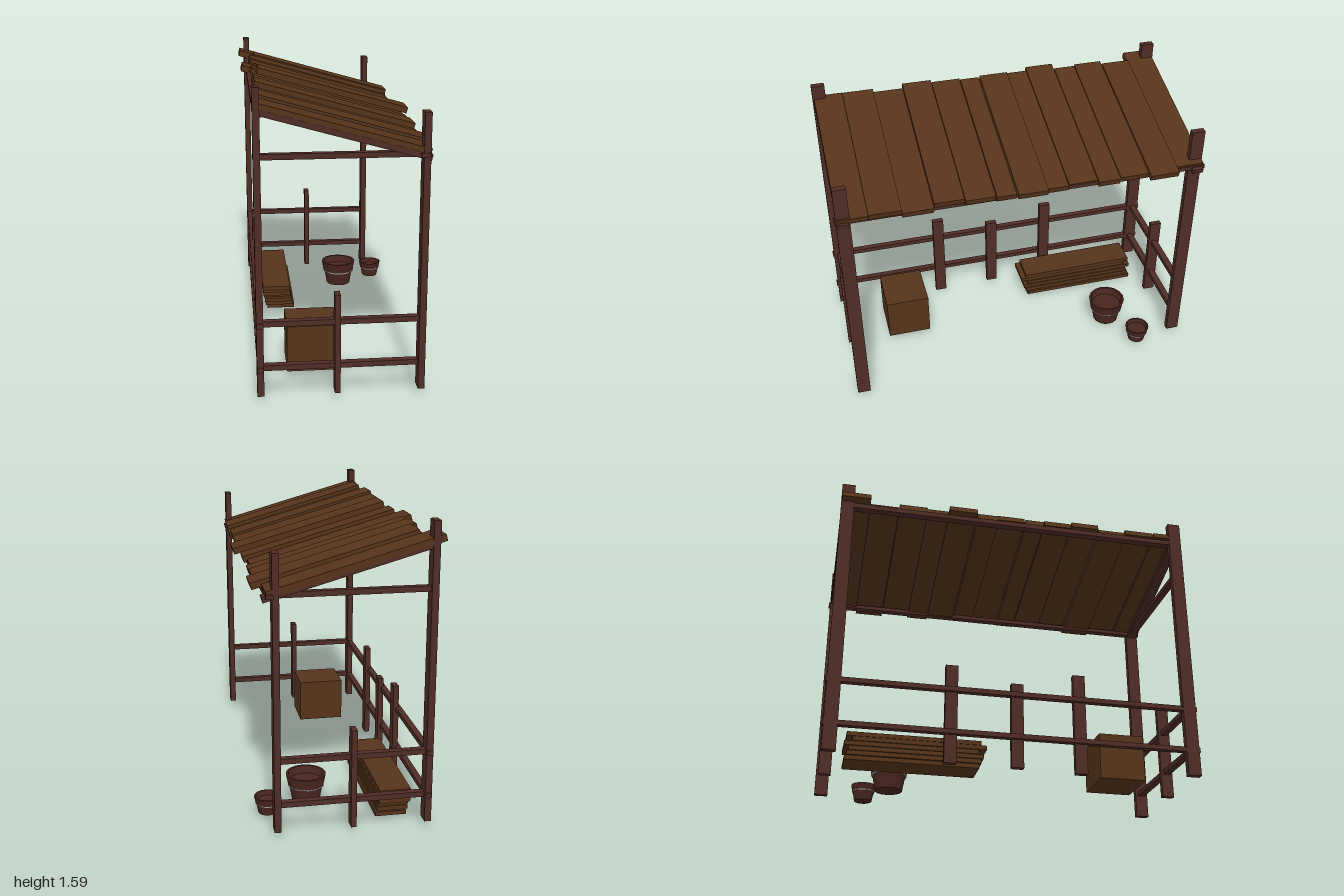
import * as THREE from 'three';

export function createModel() {
  const model = new THREE.Group();
  const mat = (color, side = THREE.FrontSide) =>
    new THREE.MeshStandardMaterial({ color, side, flatShading: true });
  const frameWood = mat(0x4f2c26);
  const plankWood = mat(0x56341a);
  const clay = mat(0x4a2620, THREE.DoubleSide);
  const band = mat(0xa8a8a8);

  // Box given by its min and max corners
  const block = (name, material, [x0, y0, z0], [x1, y1, z1], parent = model) => {
    const mesh = new THREE.Mesh(new THREE.BoxGeometry(x1 - x0, y1 - y0, z1 - z0), material);
    mesh.position.set((x0 + x1) / 2, (y0 + y1) / 2, (z0 + z1) / 2);
    mesh.name = name;
    parent.add(mesh);
    return mesh;
  };

  // Box lying along the roof slope; y0 is the height of its top face at x = 0
  const pitch = -0.275;
  const slopedBlock = (name, material, x0, x1, y0, thick, z0, z1) => {
    const mid = (x0 + x1) / 2;
    const mesh = new THREE.Mesh(
      new THREE.BoxGeometry((x1 - x0) / Math.cos(pitch), thick, z1 - z0), material);
    mesh.rotation.z = pitch;
    mesh.position.set(mid, y0 + mid * Math.tan(pitch) - thick / 2 / Math.cos(pitch), (z0 + z1) / 2);
    mesh.name = name;
    model.add(mesh);
  };

  // Both ends: corner posts, fence, tie beam and rafter
  for (const s of [1, -1]) {
    const zc = s * 0.957;
    const low = s > 0 ? 0.395 : 0.357;
    block('tallPost', frameWood, [-0.435, 0.03, zc - 0.036], [-0.4, 1.59, zc + 0.036]);
    block('shortPost', frameWood, [low - 0.017, 0.035, zc - 0.036], [low + 0.017, 1.46, zc + 0.036]);
    block('endFencePost', frameWood, [-0.045, 0.03, zc - 0.033], [-0.016, 0.555, zc + 0.033]);
    for (const y of [0.41, 0.175])
      block('endFenceRail', frameWood, [-0.435, y - 0.014, zc - 0.018], [low - 0.01, y + 0.014, zc + 0.018]);
    block('tieBeam', frameWood, [-0.41, 1.242, zc - 0.018], [low, 1.27, zc + 0.018]);
    slopedBlock('rafter', frameWood, -0.425, 0.42, 1.372, 0.03, zc - 0.03, zc + 0.03);
  }

  // Long side: fence rails, fence posts and the two roof beams
  for (const y of [0.41, 0.175])
    block('sideFenceRail', frameWood, [-0.433, y - 0.013, -1], [-0.4, y + 0.013, 1]);
  for (const [z, y0, y1] of [[0.34, 0, 0.555], [0, 0.01, 0.475], [-0.35, 0.01, 0.55]])
    block('sideFencePost', frameWood, [-0.416, y0, z - 0.033], [-0.385, y1, z + 0.033]);
  block('highBeam', frameWood, [-0.432, 1.447, -0.98], [-0.39, 1.475, 0.98]);
  block('lowBeam', frameWood, [0.365, 1.243, -1], [0.405, 1.265, 1]);

  // Roof planks: z range, x range, top height at x = 0
  const planks = [
    [0.83, 0.985, -0.43, 0.415, 1.4], [0.66, 0.83, -0.41, 0.425, 1.415],
    [0.495, 0.66, -0.41, 0.425, 1.395], [0.335, 0.495, -0.41, 0.425, 1.424],
    [0.17, 0.33, -0.41, 0.425, 1.41], [0.06, 0.165, -0.41, 0.425, 1.403],
    [-0.1, 0.06, -0.38, 0.465, 1.437], [-0.222, -0.1, -0.41, 0.425, 1.405],
    [-0.39, -0.232, -0.46, 0.4, 1.386], [-0.51, -0.39, -0.41, 0.425, 1.396],
    [-0.668, -0.51, -0.41, 0.425, 1.405], [-0.83, -0.67, -0.38, 0.455, 1.413],
    [-0.99, -0.832, -0.465, 0.4, 1.393],
  ];
  for (const [z0, z1, x0, x1, y] of planks)
    slopedBlock('roofPlank', plankWood, x0, x1, y, 0.034, z0, z1);

  // Crate
  block('crate', plankWood, [-0.27, 0.038, 0.49], [0, 0.29, 0.74]);

  // Stack of loose planks, each shifted a little
  const stack = new THREE.Group();
  stack.name = 'plankStack';
  model.add(stack);
  const shifts = [[-0.335, -0.185], [-0.345, -0.175], [-0.35, -0.165], [-0.355, -0.19], [-0.36, -0.15], [-0.36, -0.18]];
  shifts.forEach(([x, z], i) => {
    const y = 0.02 + i * 0.0235;
    block('stackedPlank', plankWood, [x, y, z - 0.69], [x + 0.165, y + 0.022, z], stack);
  });

  // Flower pots with a pale band under the rim
  const pot = (x, z, r, h) => {
    const group = new THREE.Group();
    group.name = 'flowerPot';
    const profile = [[0, 0], [0.7, 0], [0.84, 0.58], [0.89, 0.58], [1, 1], [0.88, 1], [0.8, 0.72], [0, 0.72]]
      .map(([a, b]) => new THREE.Vector2(a * r, b * h));
    const body = new THREE.Mesh(new THREE.LatheGeometry(profile, 16), clay);
    body.name = 'potBody';
    const ring = new THREE.Mesh(new THREE.CylinderGeometry(r * 0.91, r * 0.9, h * 0.05, 16), band);
    ring.position.y = h * 0.58;
    ring.name = 'potBand';
    group.add(body, ring);
    group.position.set(x, 0.02, z);
    model.add(group);
  };
  pot(0.15, -0.6, 0.108, 0.148);
  pot(0.375, -0.72, 0.07, 0.092);

  return model;
}
